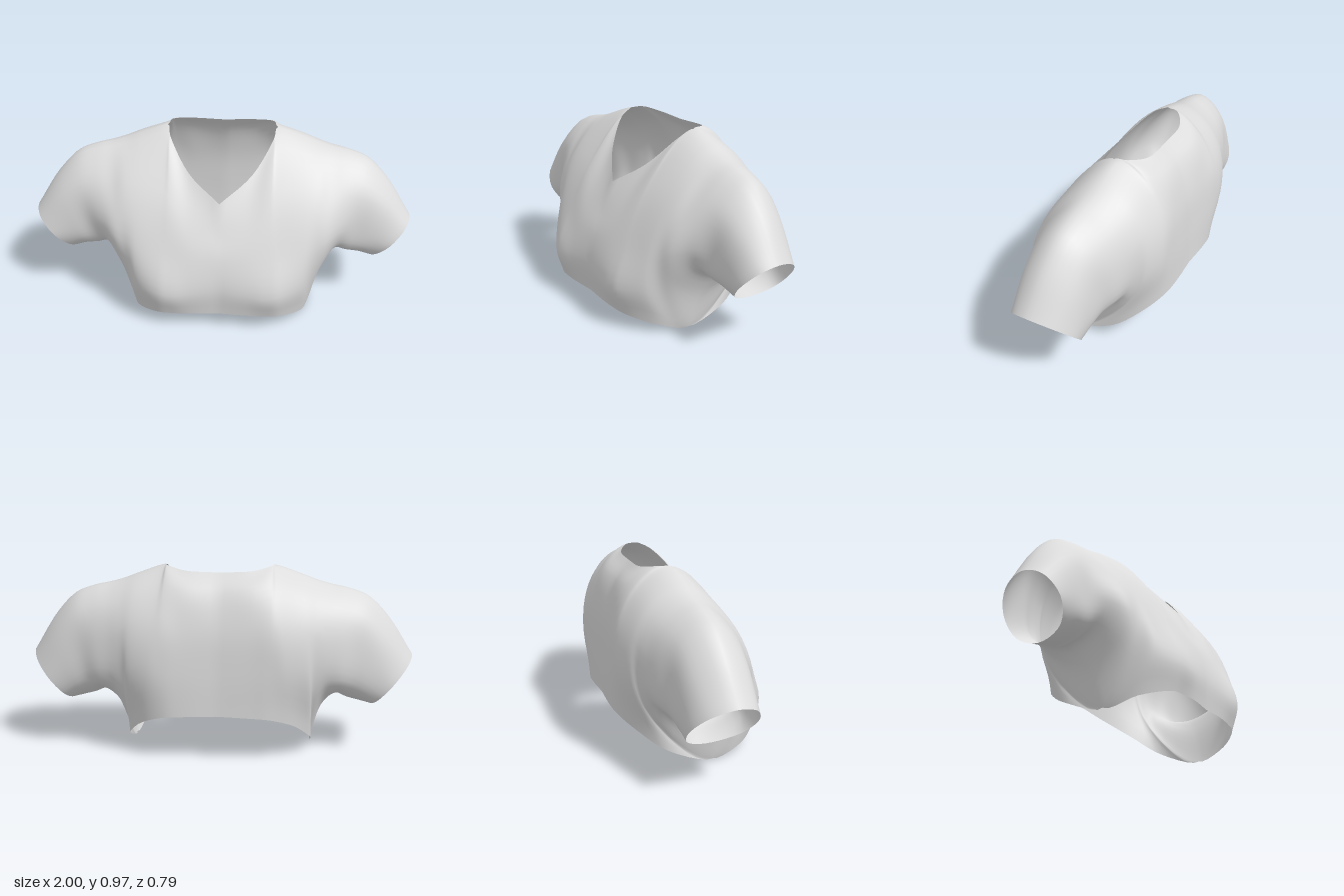
import * as THREE from 'three';
import { mergeVertices } from 'three/addons/utils/BufferGeometryUtils.js';

// Half sections from the centre line out to the cuff.
// Each row: x at the top, x at the bottom, then five (y, z) points from neck/shoulder down to hem/underarm.
const FRONT = [
  [0, 0, .67, .21, .54, .27, .41, .335, .25, .37, .09, .355],
  [.16, .14, .785, .11, .58, .25, .41, .335, .23, .385, .09, .365],
  [.265, .24, .93, -.02, .68, .195, .43, .32, .22, .395, .085, .36],
  [.285, .32, .965, -.09, .72, .165, .44, .31, .23, .385, .08, .345],
  [.42, .44, .92, -.08, .73, .145, .45, .285, .24, .31, .04, .23],
  [.50, .48, .89, -.08, .73, .13, .46, .255, .22, .22, 0, .06],
  [.57, .53, .87, -.075, .72, .11, .48, .23, .30, .18, .20, 0],
  [.66, .60, .85, -.075, .72, .09, .50, .17, .37, .11, .30, -.08],
  [.76, .66, .81, -.07, .69, .08, .49, .12, .35, .09, .28, -.10],
  [.87, .72, .70, -.06, .62, .07, .45, .11, .335, .08, .265, -.10],
  [1, .78, .50, -.04, .47, .06, .38, .105, .29, .05, .25, -.10],
];
const BACK = [
  [0, 0, .94, -.22, .85, -.30, .68, -.36, .46, -.38, .24, -.385],
  [.17, .16, .948, -.215, .86, -.31, .68, -.37, .46, -.39, .235, -.39],
  [.265, .27, .967, -.155, .88, -.28, .69, -.375, .46, -.395, .225, -.38],
  [.285, .385, .965, -.09, .89, -.25, .70, -.365, .46, -.39, .18, -.32],
  [.42, .475, .92, -.08, .85, -.245, .68, -.345, .42, -.35, .08, -.18],
  [.50, .48, .89, -.08, .81, -.245, .63, -.33, .31, -.28, 0, .06],
  [.57, .53, .87, -.075, .78, -.24, .60, -.31, .37, -.28, .20, 0],
  [.66, .60, .85, -.075, .76, -.22, .59, -.285, .38, -.27, .30, -.08],
  [.76, .66, .81, -.07, .72, -.205, .55, -.255, .36, -.24, .28, -.10],
  [.87, .72, .70, -.06, .62, -.19, .48, -.24, .33, -.225, .265, -.10],
  [1, .78, .50, -.04, .46, -.16, .37, -.225, .285, -.205, .25, -.10],
];
const STEP = 5;      // grid cells between neighbouring points, both ways
const ROWS = 4 * STEP;
const NECK_SIDE = 2; // last section cut by the neck opening
const UNDERARM = 5;  // first section joined underneath

const smooth = (points, n, closed = false) => new THREE.CatmullRomCurve3(points, closed).getPoints(n);

// The five points of one half section
function profile([xTop, xBottom, ...yz]) {
  const points = [];
  for (let k = 0; k < 10; k += 2) {
    const x = THREE.MathUtils.mapLinear(yz[k], yz[0], yz[8], xTop, xBottom);
    points.push(new THREE.Vector3(x, yz[k], yz[k + 1]));
  }
  return points;
}

// Front and back curves of a section, rounded over the shoulder and under the arm where they join
function sectionCurves(i) {
  const f = profile(FRONT[i]), b = profile(BACK[i]);
  if (i < NECK_SIDE) return [smooth(f, ROWS), smooth(b, ROWS)];
  if (i < UNDERARM) {
    const backUp = b.slice(i > NECK_SIDE ? 1 : 0).reverse();
    const points = [...backUp, ...f];
    const arch = smooth(points, (points.length - 1) * STEP);
    return [arch.slice(-ROWS - 1), arch.slice(0, ROWS + 1).reverse()];
  }
  const ring = smooth([...f, ...b.slice(1, 4).reverse()], 2 * ROWS, true);
  return [ring.slice(0, ROWS + 1), ring.slice(ROWS).reverse()];
}

// Smooth grid[row][column] running across the sections
function panelGrid(sections) {
  const grid = [];
  for (let j = 0; j <= ROWS; j++) {
    grid.push(smooth(sections.map((s) => s[j]), (sections.length - 1) * STEP));
  }
  return grid;
}

// Make two panels share an edge exactly
function joinEdge(a, b, from) {
  for (let i = from; i < a.length; i++) {
    a[i].lerp(b[i], 0.5);
    b[i].copy(a[i]);
  }
}

function shirtGeometry() {
  const sections = FRONT.map((_, i) => sectionCurves(i));
  const front = panelGrid(sections.map((s) => s[0]));
  const back = panelGrid(sections.map((s) => s[1]));
  joinEdge(front[0], back[0], (NECK_SIDE + 1) * STEP);
  joinEdge(front[ROWS], back[ROWS], UNDERARM * STEP);

  const positions = [], index = [];
  for (const [grid, facing] of [[front, 1], [back, -1]]) {
    for (const side of [1, -1]) {
      const start = positions.length / 3, cols = grid[0].length;
      for (const row of grid) for (const p of row) positions.push(p.x * side, p.y, p.z);
      for (let j = 0; j < ROWS; j++) {
        for (let i = 0; i < cols - 1; i++) {
          const a = start + j * cols + i, b = a + 1, c = a + cols, d = c + 1;
          if (facing * side > 0) index.push(a, c, b, b, c, d);
          else index.push(a, b, c, b, d, c);
        }
      }
    }
  }
  const geometry = new THREE.BufferGeometry();
  geometry.setAttribute('position', new THREE.Float32BufferAttribute(positions, 3));
  geometry.setIndex(index);
  // Weld shoulder, underarm and centre seams so shading runs across them
  const welded = mergeVertices(geometry, 1e-4);
  welded.computeVertexNormals();
  return welded;
}

export function createModel() {
  const group = new THREE.Group();
  group.name = 'croppedShirt';
  const cloth = new THREE.MeshStandardMaterial({ color: 0xdddddd, side: THREE.DoubleSide });
  cloth.name = 'light grey cloth';
  const shirt = new THREE.Mesh(shirtGeometry(), cloth);
  shirt.name = 'shirtBodyAndSleeves';
  group.add(shirt);
  return group;
}
